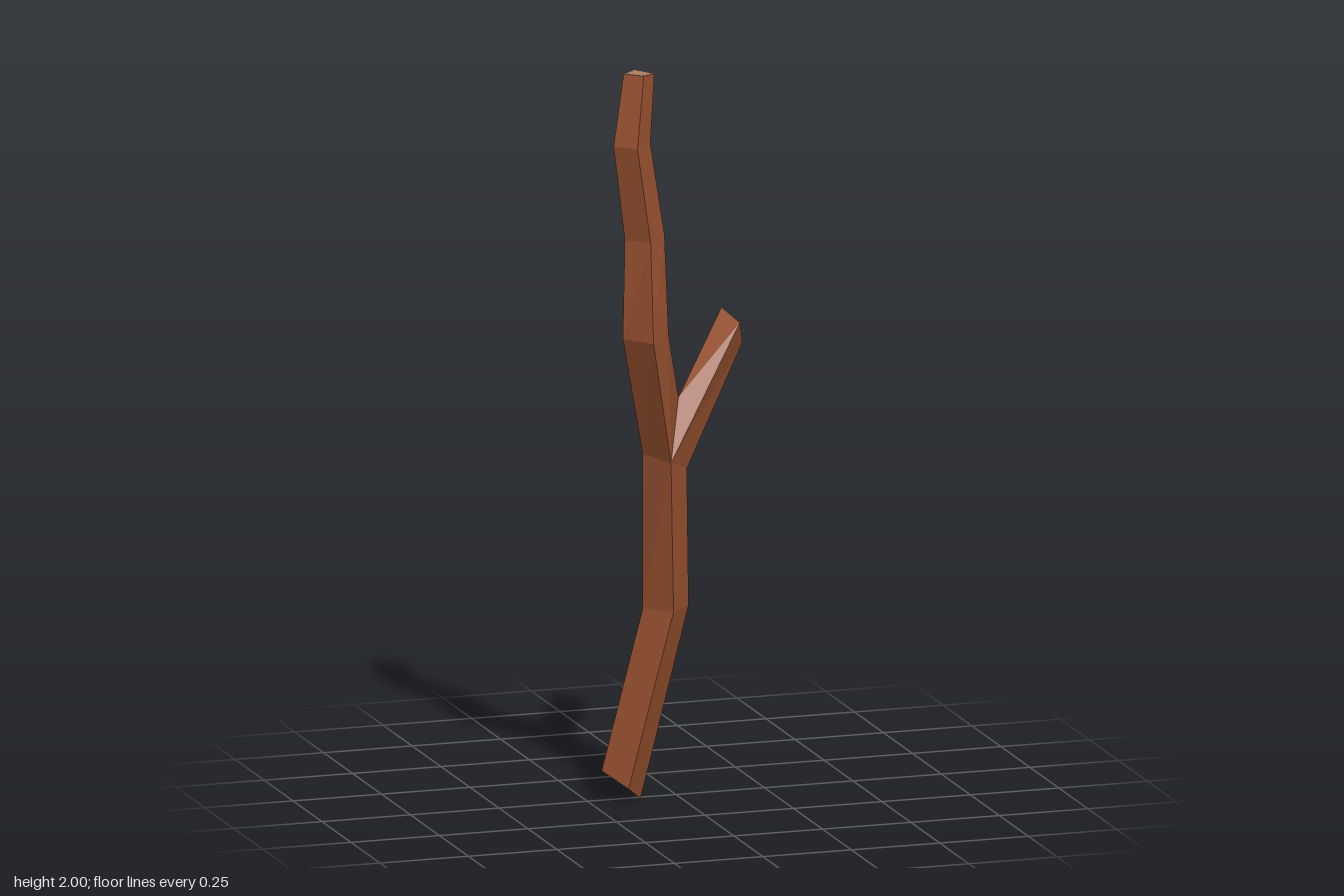
import * as THREE from 'three';

const bark = new THREE.MeshStandardMaterial({ color: 0x96502f });
bark.name = 'bark brown';
const cutWood = new THREE.MeshStandardMaterial({ color: 0xa87f60 });
cutWood.name = 'cut wood tan';

// Flat-faced mesh from quads of corner points
function quadMesh(name, quads, material) {
  const points = quads.flatMap(([a, b, c, d]) => [a, b, c, a, c, d]);
  const geometry = new THREE.BufferGeometry();
  geometry.setAttribute('position', new THREE.Float32BufferAttribute(points.flat(), 3));
  geometry.computeVertexNormals();
  const mesh = new THREE.Mesh(geometry, material);
  mesh.name = name;
  return mesh;
}

// Four-sided limb skinned through successive rings
function limb(name, rings) {
  const quads = [];
  for (let r = 0; r < rings.length - 1; r++) {
    for (let i = 0; i < 4; i++) {
      const j = (i + 1) % 4;
      quads.push([rings[r][i], rings[r][j], rings[r + 1][j], rings[r + 1][i]]);
    }
  }
  return quadMesh(name, quads, bark);
}

export function createModel() {
  const group = new THREE.Group();
  group.name = 'forkedStick';

  // Rings run: -x corner, front, +x corner, back
  const base = [[-0.215, 0.085, 0.015], [-0.16, 0.045, 0.08], [-0.105, 0, 0.015], [-0.16, 0.045, -0.05]];
  const bend = [[-0.1, 0.525, 0.018], [-0.033, 0.525, 0.08], [0.03, 0.525, 0.018], [-0.033, 0.525, -0.045]];
  const fork = [[-0.103, 0.955, 0.027], [-0.045, 0.94, 0.095], [0.022, 0.905, 0.027], [-0.043, 0.935, -0.046]];
  const crotch = [0.003, 1.1, 0.013];
  const [forkLeft, forkFront, forkRight, forkBack] = fork;

  // Upper stem narrows as it wanders up
  const upper = [
    [[-0.172, 1.285, 0.067], [-0.11, 1.285, 0.143], [-0.045, 1.29, 0.073], [-0.108, 1.29, -0.002]],
    [[-0.155, 1.55, 0.032], [-0.1, 1.55, 0.088], [-0.042, 1.555, 0.03], [-0.098, 1.555, -0.026]],
    [[-0.186, 1.81, 0.03], [-0.135, 1.81, 0.081], [-0.082, 1.81, 0.03], [-0.135, 1.81, -0.02]],
    [[-0.147, 2, -0.003], [-0.103, 2, 0.037], [-0.06, 1.995, -0.003], [-0.103, 2, -0.044]],
  ];
  const branchEnd = [[0.163, 1.31, -0.105], [0.193, 1.28, -0.038], [0.214, 1.215, -0.08], [0.184, 1.245, -0.145]];

  group.add(
    limb('lowerStem', [base, bend, fork]),
    limb('upperStem', [[forkLeft, forkFront, crotch, forkBack], ...upper]),
    limb('sideBranch', [[crotch, forkFront, forkRight, forkBack], branchEnd]),
    quadMesh('topCut', [upper[3]], cutWood),
    quadMesh('branchCut', [branchEnd], cutWood),
    quadMesh('baseCut', [[...base].reverse()], cutWood),
  );
  return group;
}
